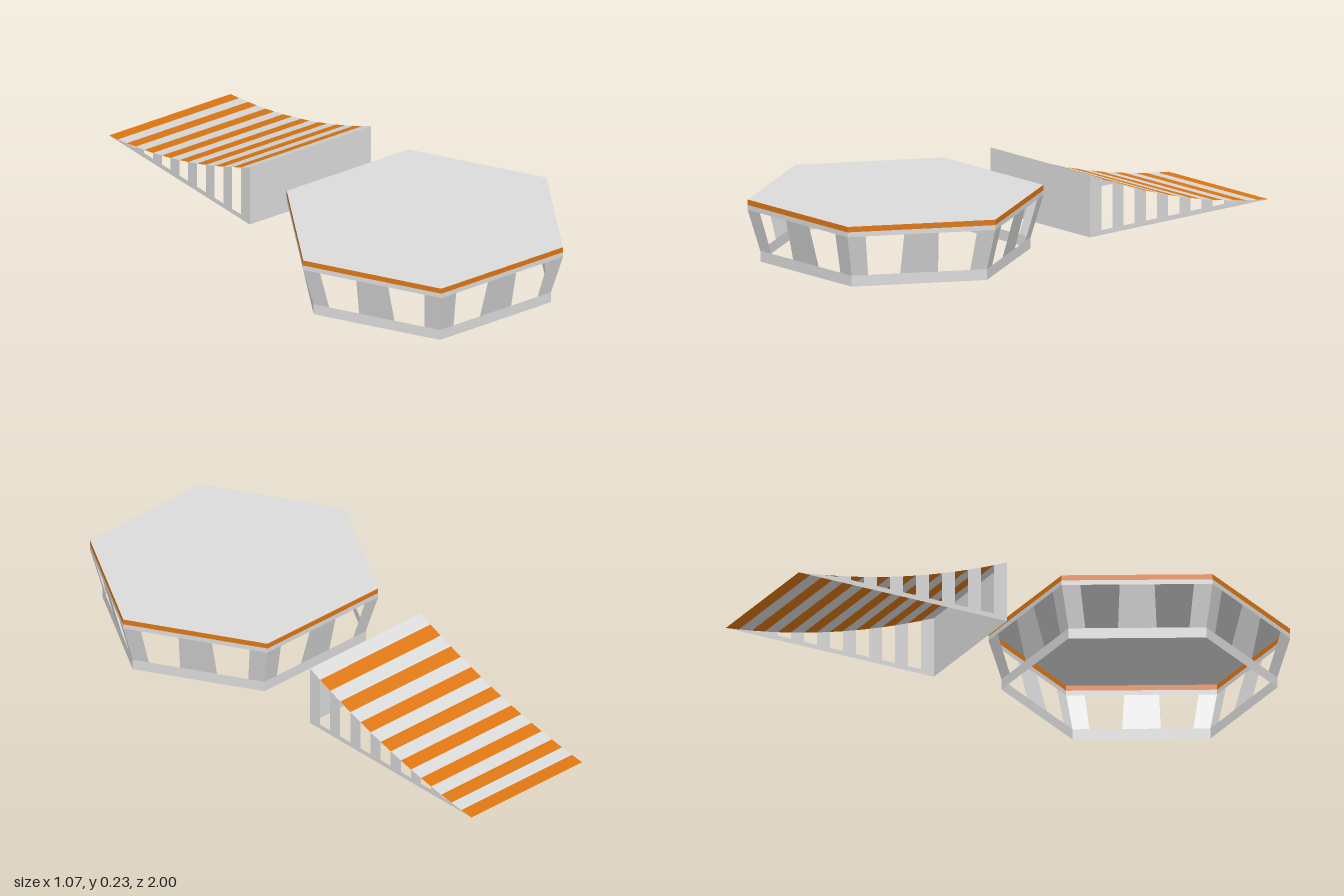
import * as THREE from 'three';

const grey = new THREE.MeshStandardMaterial({ color: 0xdadada, side: THREE.DoubleSide });
grey.name = 'light grey';
const orange = new THREE.MeshStandardMaterial({ color: 0xde7712, side: THREE.DoubleSide });
orange.name = 'orange';

// Builds one flat-faced mesh from quads given as corners (counter-clockwise from outside)
function sheet(name, material, quads) {
  const pts = quads.flatMap(([a, b, c, d]) => [a, b, c, a, c, d]).flat();
  const geo = new THREE.BufferGeometry();
  geo.setAttribute('position', new THREE.Float32BufferAttribute(pts, 3));
  geo.computeVertexNormals();
  const mesh = new THREE.Mesh(geo, material);
  mesh.name = name;
  return mesh;
}

// Hexagonal platform, open underneath
const CZ = 0.535, BASE_R = 0.491, TOP_R = 0.537;
const Y = { sill: 0.04, lintel: 0.192, trim: 0.21, top: 0.23 };

// Point on hexagon side k; u runs from -1 to 1 along the side
function hexPoint(k, u, r, y) {
  const a = (k * Math.PI) / 3, b = ((k + 1) * Math.PI) / 3, t = (u + 1) / 2;
  const mix = (p, q) => r * (p + (q - p) * t);
  return [mix(Math.cos(a), Math.cos(b)), y, CZ + mix(Math.sin(a), Math.sin(b))];
}

// Band around the hexagon, made of the given [u0, u1] spans at its lower and upper edge
function hexBand(name, material, r0, y0, r1, y1, low = [[-1, 1]], high = low) {
  const quads = [];
  for (let k = 0; k < 6; k++) {
    low.forEach(([a, b], i) => {
      const [c, d] = high[i];
      quads.push([hexPoint(k, b, r0, y0), hexPoint(k, a, r0, y0),
        hexPoint(k, c, r1, y1), hexPoint(k, d, r1, y1)]);
    });
  }
  return sheet(name, material, quads);
}

function createPlatform() {
  const g = new THREE.Group();
  g.name = 'platform';
  g.add(hexBand('baseRing', grey, BASE_R, 0, BASE_R, Y.sill));
  // Flared wall: posts left between two openings per side
  g.add(hexBand('flaredPosts', grey, BASE_R, Y.sill, TOP_R, Y.lintel,
    [[-1, -0.755], [-0.28, 0.28], [0.755, 1]],
    [[-1, -0.755], [-0.232, 0.232], [0.755, 1]]));
  g.add(hexBand('upperRing', grey, TOP_R, Y.lintel, TOP_R, Y.trim));
  g.add(hexBand('edgeTrim', orange, TOP_R, Y.trim, TOP_R, Y.top));
  const deck = new THREE.Mesh(new THREE.CircleGeometry(TOP_R, 6), grey);
  deck.name = 'deck';
  deck.rotation.x = -Math.PI / 2;
  deck.position.set(0, Y.top, CZ);
  g.add(deck);
  return g;
}

// Curved ramp: striped surface on two comb-shaped side walls
function createRamp() {
  const N = 16, HALF = 0.268, Z0 = -0.153, Z1 = -1, RAIL = 0.018;
  const zAt = (i) => Z0 + ((Z1 - Z0) * i) / N;
  const yAt = (i) => {
    const s = 1 - i / N;
    return 0.23 * (0.39 * s + 0.61 * s * s);
  };
  const g = new THREE.Group();
  g.name = 'ramp';
  const stripes = [[], []];
  const sides = { leftSide: [], rightSide: [] };
  for (let i = 0; i < N; i++) {
    const za = zAt(i), zb = zAt(i + 1), ya = yAt(i), yb = yAt(i + 1);
    stripes[i % 2].push([[HALF, ya, za], [HALF, yb, zb], [-HALF, yb, zb], [-HALF, ya, za]]);
    // Full-height rib under grey stripes, only the low rail under orange ones
    const rib = i % 2 === 0;
    const ha = rib ? ya : Math.min(RAIL, ya), hb = rib ? yb : Math.min(RAIL, yb);
    sides.leftSide.push([[HALF, 0, za], [HALF, 0, zb], [HALF, hb, zb], [HALF, ha, za]]);
    sides.rightSide.push([[-HALF, 0, zb], [-HALF, 0, za], [-HALF, ha, za], [-HALF, hb, zb]]);
  }
  g.add(sheet('greyStripes', grey, stripes[0]));
  g.add(sheet('orangeStripes', orange, stripes[1]));
  for (const [name, quads] of Object.entries(sides)) g.add(sheet(name, grey, quads));
  g.add(sheet('rampFront', grey,
    [[[-HALF, 0, Z0], [HALF, 0, Z0], [HALF, yAt(0), Z0], [-HALF, yAt(0), Z0]]]));
  return g;
}

export function createModel() {
  const model = new THREE.Group();
  model.name = 'jumpRampAndPlatform';
  model.add(createPlatform(), createRamp());
  return model;
}
